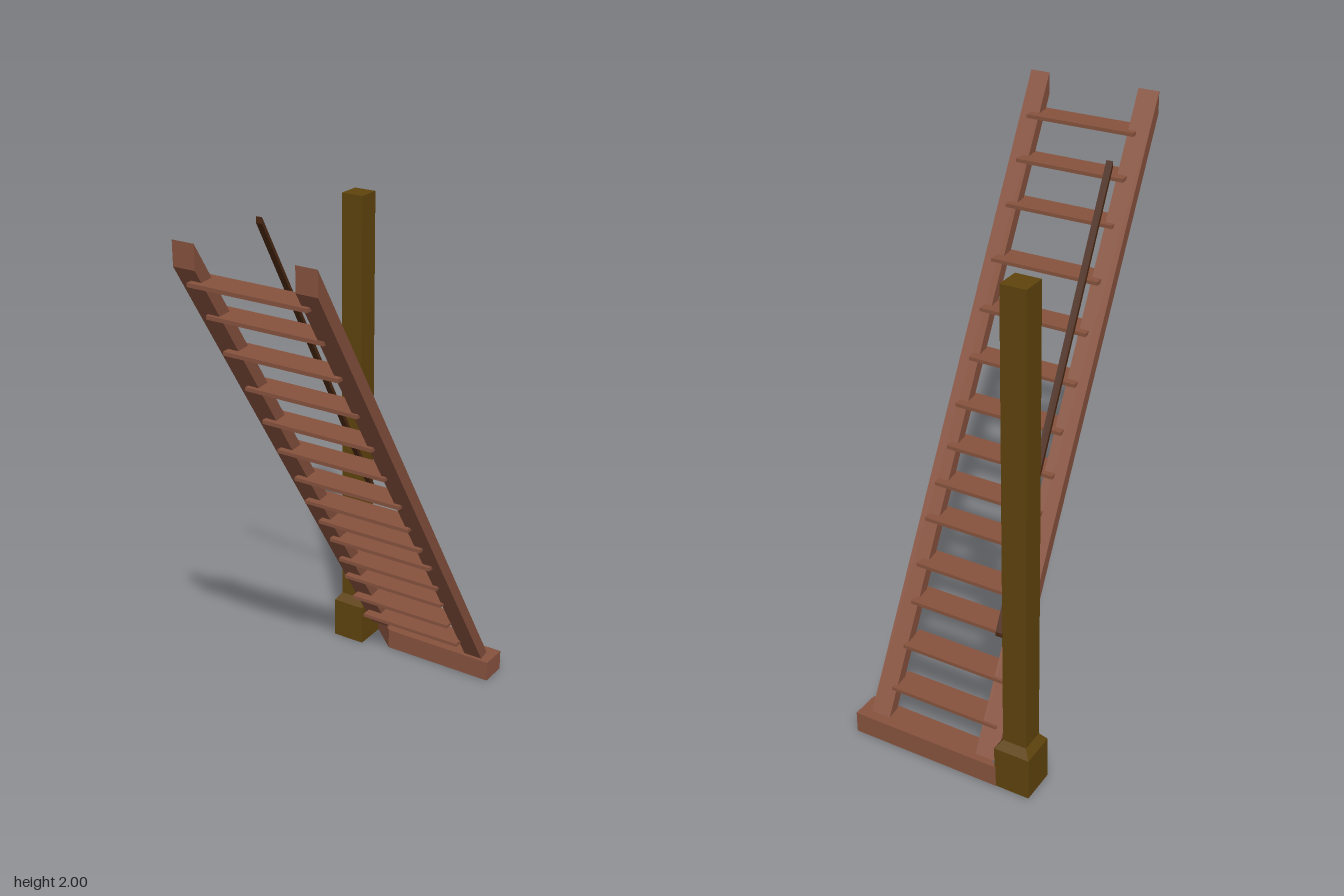
import * as THREE from 'three';

const TURN = 0.323; // plan rotation shared by treads, footing and post

function material(name, color) {
  const m = new THREE.MeshStandardMaterial({ color });
  m.name = name;
  return m;
}

function polygon(points) {
  return new THREE.Shape(points.map(([a, b]) => new THREE.Vector2(a, b)));
}

// Sloping bar: a side profile (x, y) running along a plan direction,
// swept sideways by (wx, wz)
function slopingBar(name, points, origin, slopeZ, [wx, wz], mat) {
  const geo = new THREE.ExtrudeGeometry(polygon(points), { depth: 1, bevelEnabled: false });
  geo.applyMatrix4(new THREE.Matrix4().makeBasis(
    new THREE.Vector3(1, 0, slopeZ), new THREE.Vector3(0, 1, 0), new THREE.Vector3(wx, 0, wz)));
  geo.computeVertexNormals();
  const mesh = new THREE.Mesh(geo, mat);
  mesh.name = name;
  mesh.position.set(origin[0], 0, origin[1]);
  return mesh;
}

// Square block, optionally tapered, from height y0 to y1
function squareBlock(name, bottom, top, y0, y1, mat) {
  const geo = new THREE.CylinderGeometry(top * Math.SQRT1_2, bottom * Math.SQRT1_2, y1 - y0, 4)
    .rotateY(Math.PI / 4).toNonIndexed();
  geo.computeVertexNormals();
  const mesh = new THREE.Mesh(geo, mat);
  mesh.name = name;
  mesh.position.y = (y0 + y1) / 2;
  return mesh;
}

export function createModel() {
  const model = new THREE.Group();
  model.name = 'staircase';
  const wood = material('reddish wood', 0x87523e);
  const postWood = material('olive wood', 0x5f430d);
  const railWood = material('dark wood', 0x4a2814);

  // Two stringers, cut plumb at the top and level at the foot
  const profile = [[0, 2], [0, 1.92], [1.165, 0.08], [1.215, 0.08]];
  model.add(slopingBar('backStringer', profile, [-0.71, 0.092], -0.436, [0.025, 0.075], wood));
  model.add(slopingBar('frontStringer', profile, [-0.58, 0.505], -0.436, [0.023, 0.07], wood));

  // Treads: left edge x, height, front edge z (unevenly spaced)
  const treads = [
    [-0.69, 1.87, 0.525], [-0.6, 1.74, 0.48], [-0.525, 1.6, 0.45], [-0.413, 1.44, 0.4],
    [-0.323, 1.29, 0.36], [-0.233, 1.145, 0.315], [-0.143, 1.005, 0.285], [-0.069, 0.88, 0.245],
    [0.005, 0.77, 0.225], [0.074, 0.665, 0.2], [0.155, 0.535, 0.15], [0.215, 0.425, 0.11],
    [0.286, 0.293, 0.07], [0.365, 0.168, 0.04],
  ];
  const treadGeo = new THREE.BoxGeometry(0.102, 0.013, 0.419);
  treads.forEach(([x, y, z], i) => {
    const tread = new THREE.Mesh(treadGeo, wood);
    tread.name = `tread${i + 1}`;
    tread.position.set(x + 0.115, y, z - 0.215);
    tread.rotation.y = TURN;
    model.add(tread);
  });

  // Footing under the stringers, its far end cut at an angle by the post
  const plan = [[0.705, -0.073], [0.605, -0.105], [0.465, 0.32], [0.525, 0.46]];
  const footing = new THREE.Mesh(
    new THREE.ExtrudeGeometry(polygon(plan), { depth: 0.08, bevelEnabled: false })
      .rotateX(-Math.PI / 2), wood);
  footing.name = 'footing';
  model.add(footing);

  // Newel post with a wider chamfered plinth
  const post = new THREE.Group();
  post.name = 'post';
  post.position.set(0.443, 0, -0.495);
  post.rotation.y = TURN;
  post.add(
    squareBlock('plinth', 0.13, 0.13, 0, 0.16, postWood),
    squareBlock('plinthChamfer', 0.13, 0.087, 0.16, 0.19, postWood),
    squareBlock('shaft', 0.087, 0.087, 0.19, 1.83, postWood));
  model.add(post);

  // Slim handrail
  const rail = [[0, 1.93], [0, 1.908], [0.73, 0.61], [0.738, 0.61], [0.738, 0.625]];
  model.add(slopingBar('handrail', rail, [-0.238, -0.165], -0.412, [0.008, 0.022], railWood));

  return model;
}
